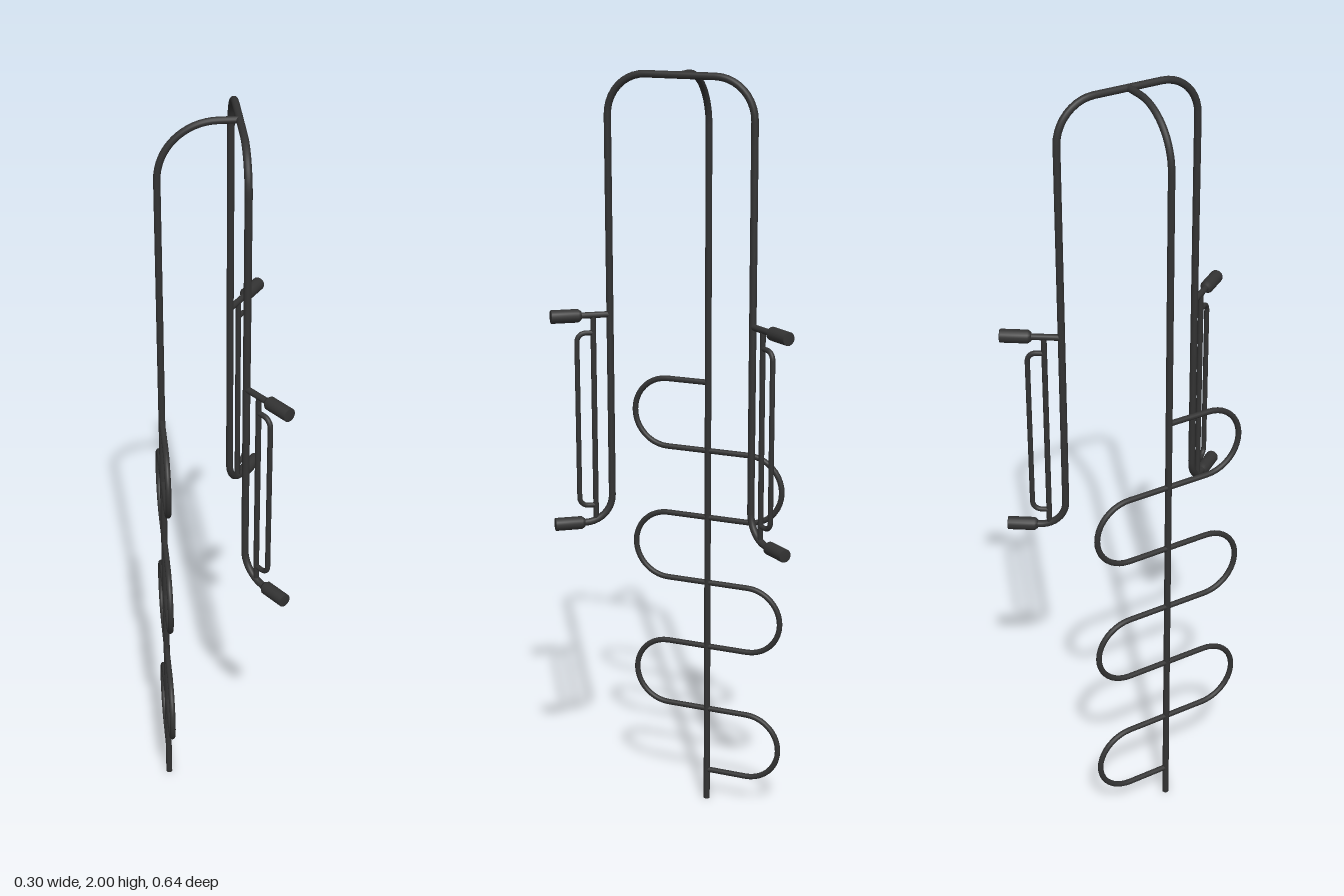
import * as THREE from 'three';

const material = new THREE.MeshStandardMaterial({ color: 0x333333 });
const V = (x, y, z) => new THREE.Vector3(x, y, z);

// Path through exact points, so straight runs need no subdivision
class PointPath extends THREE.Curve {
  constructor(points) {
    super();
    this.points = points;
  }
  getPoint(t, target = V(0, 0, 0)) {
    const n = this.points.length - 1;
    const i = Math.min(Math.floor(t * n + 1e-6), n - 1);
    return target.lerpVectors(this.points[i], this.points[i + 1], t * n - i);
  }
  getPointAt(t, target) {
    return this.getPoint(t, target);
  }
  getTangentAt(t, target = V(0, 0, 0)) {
    const p = this.points, n = p.length - 1, i = Math.round(t * n);
    target.set(0, 0, 0);
    if (i > 0) target.add(p[i].clone().sub(p[i - 1]).normalize());
    if (i < n) target.add(p[i + 1].clone().sub(p[i]).normalize());
    return target.normalize();
  }
}

// Replaces each inner corner of a polyline by a circular arc
function rounded(corners, radii, steps = 10) {
  const out = [corners[0]];
  radii.forEach((r, i) => {
    const c = corners[i + 1];
    const a = corners[i].clone().sub(c).normalize();
    const b = corners[i + 2].clone().sub(c).normalize();
    const half = a.angleTo(b) / 2;
    const center = c.clone().addScaledVector(a.clone().add(b).normalize(), r / Math.sin(half));
    const start = c.clone().addScaledVector(a, r / Math.tan(half)).sub(center);
    const axis = b.clone().cross(a).normalize();
    for (let k = 0; k <= steps; k++) {
      const angle = (k / steps) * (Math.PI - 2 * half);
      out.push(start.clone().applyAxisAngle(axis, angle).add(center));
    }
  });
  out.push(corners[corners.length - 1]);
  return out;
}

function rod(name, points, radius) {
  const geometry = new THREE.TubeGeometry(new PointPath(points), points.length - 1, radius, 14, false);
  const mesh = new THREE.Mesh(geometry, material);
  mesh.name = name;
  return mesh;
}

export function createModel() {
  const model = new THREE.Group();
  model.name = 'ropeAndRingFrame';
  const poleX = -0.141, frameX = 0.048, topY = 1.991;
  const upperY = 1.398, lowerY = 0.853;

  // Point at distance t along the slanted arm on one side
  const arm = (side, t, y) => V(frameX + 0.575 * t, y, side * (0.19 + 0.818 * t));

  // Central pole curving over to the frame
  model.add(rod('pole', rounded([V(poleX, 0, 0), V(poleX, topY, 0), V(frameX, topY, 0)], [0.14], 16), 0.0085));
  const foot = new THREE.Mesh(new THREE.CircleGeometry(0.0085, 14), material);
  foot.name = 'poleFoot';
  foot.rotation.x = Math.PI / 2;
  foot.position.set(poleX, 0, 0);
  model.add(foot);

  // Arch whose lower ends bend outward into the lower grips
  model.add(rod('arch', rounded([
    arm(1, 0.09, lowerY), arm(1, 0, lowerY), V(frameX, topY, 0.19),
    V(frameX, topY, -0.19), arm(-1, 0, lowerY), arm(-1, 0.09, lowerY),
  ], [0.07, 0.1, 0.1, 0.07]), 0.009));

  // Winding rod: half circles alternating across the pole
  const pitch = 0.1845, bend = pitch / 2, reach = 0.114, startY = 1.194;
  const wave = [V(poleX, startY, 0)];
  for (let i = 0; i < 6; i++) {
    const side = i % 2 ? -1 : 1;
    for (let k = 0; k <= 20; k++) {
      const a = (k / 20) * Math.PI;
      wave.push(V(poleX, startY - i * pitch - bend + bend * Math.cos(a), side * (reach + bend * Math.sin(a))));
    }
  }
  wave.push(V(poleX, startY - 6 * pitch, 0));
  model.add(rod('windingRod', wave, 0.0074));

  // Handle assembly on each side
  for (const side of [1, -1]) {
    const handle = new THREE.Group();
    handle.name = side > 0 ? 'frontHandle' : 'backHandle';
    handle.add(rod('upperArm', [arm(side, 0, upperY), arm(side, 0.09, upperY)], 0.008));
    handle.add(rod('uprightBar', [arm(side, 0.043, lowerY), arm(side, 0.043, upperY)], 0.007));
    handle.add(rod('gripBracket', rounded([
      arm(side, 0.043, 1.353), arm(side, 0.085, 1.353),
      arm(side, 0.085, 0.899), arm(side, 0.043, 0.899),
    ], [0.022, 0.022], 6), 0.0065));

    // Padded grips with a chamfered inner end
    const profile = [[0, 0.073], [0.011, 0.073], [0.017, 0.081], [0.017, 0.148], [0.016, 0.15], [0, 0.15]];
    const padGeometry = new THREE.LatheGeometry(profile.map(([r, t]) => new THREE.Vector2(r, t)), 16);
    for (const y of [upperY, lowerY]) {
      const pad = new THREE.Mesh(padGeometry, material);
      pad.name = y === upperY ? 'upperGrip' : 'lowerGrip';
      pad.position.copy(arm(side, 0, y));
      pad.quaternion.setFromUnitVectors(V(0, 1, 0), V(0.575, 0, side * 0.818).normalize());
      handle.add(pad);
    }
    model.add(handle);
  }
  return model;
}
